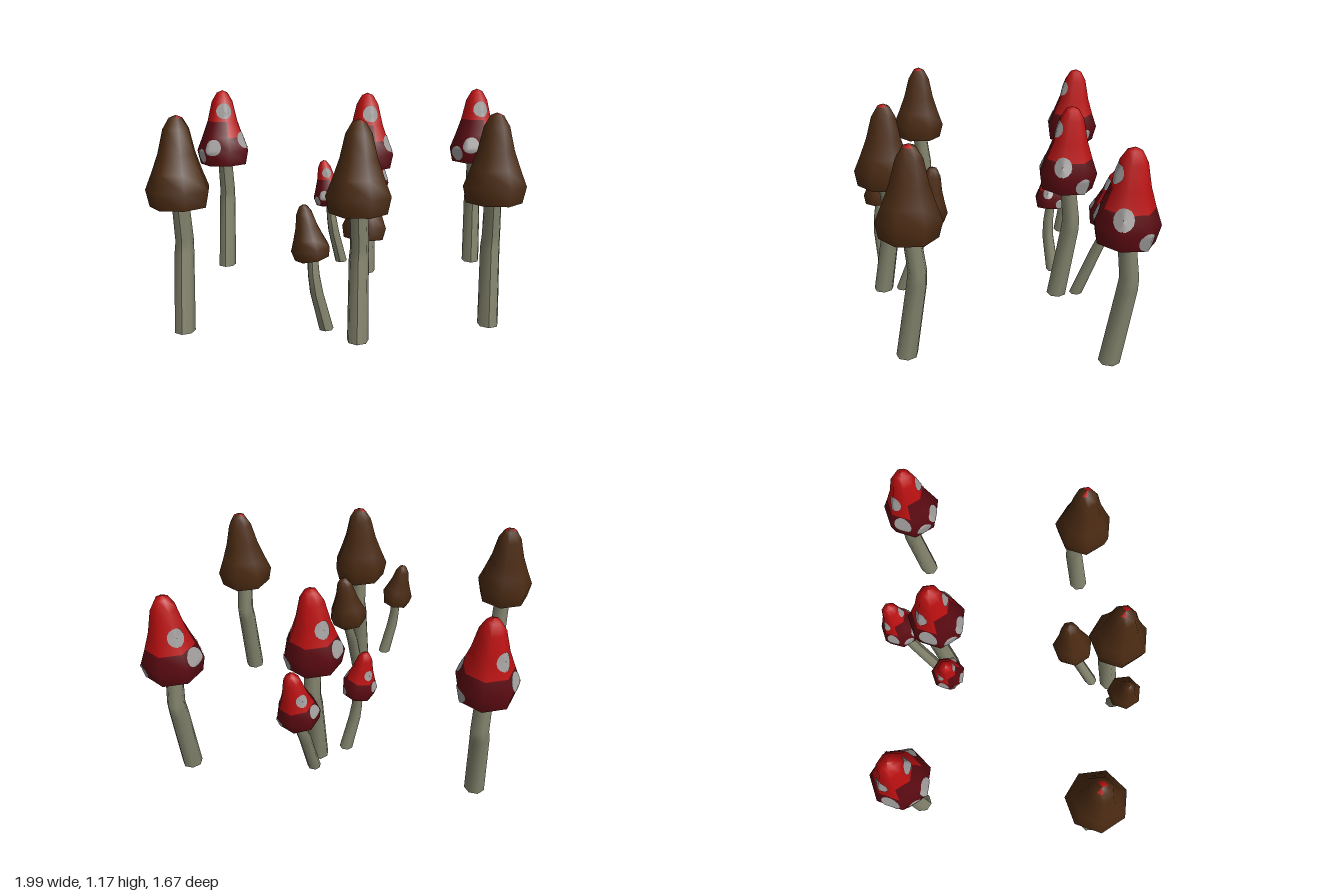
import * as THREE from 'three';

const mat = (name, color) => {
  const m = new THREE.MeshStandardMaterial({ color });
  m.name = name;
  return m;
};

const SIDES = 7;
// Cap profile from rim to tip: radius, height
const PROFILE = [[0.153, 0], [0.172, 0.09], [0.136, 0.18], [0.1, 0.28], [0.07, 0.405], [0.036, 0.462], [0, 0.477]];
// Spots on the cap: angle from the front in degrees, height, size
const SPOTS = [[18, 0.35, 0.05], [-14, 0.12, 0.052], [76, 0.16, 0.054], [126, 0.05, 0.05],
  [232, 0.27, 0.05], [260, 0.13, 0.052], [308, 0.06, 0.048]];

// Distance from the axis to the seven-sided cap surface
function capRadius(angle, y) {
  let i = 0;
  while (i < PROFILE.length - 2 && y > PROFILE[i + 1][1]) i++;
  const [r0, y0] = PROFILE[i], [r1, y1] = PROFILE[i + 1];
  const r = r0 + (r1 - r0) * (y - y0) / (y1 - y0);
  const step = 2 * Math.PI / SIDES;
  const a = (((angle - Math.PI) % step) + step) % step;
  return r * Math.cos(step / 2) / Math.cos(a - step / 2);
}

// Thin disc wrapped onto the cap
function spotGeometry(deg, height, size) {
  const g = new THREE.RingGeometry(0, size, 14, 4);
  const p = g.attributes.position;
  const mid = THREE.MathUtils.degToRad(deg);
  const around = capRadius(mid, height);
  for (let i = 0; i < p.count; i++) {
    const angle = mid + p.getX(i) / around;
    const y = Math.max(0.002, height + p.getY(i));
    const r = capRadius(angle, y) + 0.005;
    p.setXYZ(i, r * Math.sin(angle), y, r * Math.cos(angle));
  }
  g.computeVertexNormals();
  return g;
}

// Lathed cap whose faces take one of two materials
function capGeometry(isSecond) {
  const pts = PROFILE.map(([r, y]) => new THREE.Vector2(r, y));
  const g = new THREE.LatheGeometry(pts, SIDES, Math.PI);
  const rows = PROFILE.length - 1;
  for (let i = 0; i < SIDES; i++) {
    for (let j = 0; j < rows; j++) g.addGroup((i * rows + j) * 6, 6, isSecond(i, j) ? 1 : 0);
  }
  return g;
}

// Stem following a few centre points, tapering upwards
function stemGeometry(path, r0, r1) {
  const n = path.length - 1;
  const g = new THREE.CylinderGeometry(r1, r0, 1, SIDES, n);
  const p = g.attributes.position;
  for (let i = 0; i < p.count; i++) {
    const [x, y, z] = path[Math.round((p.getY(i) + 0.5) * n)];
    p.setXYZ(i, p.getX(i) + x, y, p.getZ(i) + z);
  }
  g.computeVertexNormals();
  return g;
}

export function createModel() {
  const brown = mat('brown cap', 0x4a2a12);
  const red = mat('bright red', 0xb90f10);
  const darkRed = mat('dark red', 0x5a0a11);
  const grey = mat('grey spot', 0xa29e9e);
  const stemMat = mat('stem', 0x83836d);

  const add = (parent, name, geometry, material) => {
    const m = new THREE.Mesh(geometry, material);
    m.name = name;
    parent.add(m);
    return m;
  };

  const redCap = capGeometry((i, j) => j >= (i === 2 || i === 3 ? 3 : 2));
  const brownCap = capGeometry((i, j) => j === 5 && (i === 1 || i === 4 || i === 5));
  const plainCap = capGeometry(() => false);
  const underside = new THREE.LatheGeometry(
    [new THREE.Vector2(0, 0.03), new THREE.Vector2(PROFILE[0][0], 0)], SIDES, Math.PI);
  const spots = SPOTS.map((s) => spotGeometry(...s));

  // Stem paths, radii and cap placement of one cluster
  const bigPath = [[0, 0.005, 0.048], [0, 0.43, -0.02], [0.004, 0.5, -0.026], [0, 0.74, 0.002]];
  const big = (x, z) => ({
    at: [x, z], path: bigPath, radii: [0.058, 0.047],
    cap: [0, 0.7, 0.012], tilt: [-0.05, 0], size: 1,
  });
  const cluster = [
    big(-0.83, 0.59), big(0.115, 0.65), big(0.825, 0.39),
    {
      at: [0.13, 0.41], path: [[-0.02, 0.01, 0.17], [-0.01, 0.3, 0.06], [0, 0.4, 0.02], [0.002, 0.52, 0]],
      radii: [0.039, 0.03], cap: [0, 0.485, 0.01], tilt: [-0.17, -0.06], size: 0.71,
    },
    {
      at: [-0.115, 0.74], path: [[0.065, 0.08, -0.02], [0.02, 0.29, 0.012], [0.006, 0.39, 0.012], [0, 0.5, 0]],
      radii: [0.039, 0.027], cap: [0, 0.48, 0], tilt: [0, 0.16], size: 0.59,
    },
  ];

  function mushroom(spec, isRed) {
    const g = new THREE.Group();
    g.name = isRed ? 'redMushroom' : 'brownMushroom';
    g.position.set(spec.at[0], 0, spec.at[1] - (isRed ? 1.06 : 0));
    add(g, 'stem', stemGeometry(spec.path, ...spec.radii), stemMat);
    const cap = new THREE.Group();
    cap.name = 'cap';
    cap.position.set(...spec.cap);
    cap.rotation.set(spec.tilt[0], 0, spec.tilt[1]);
    cap.scale.setScalar(spec.size);
    const base = isRed ? darkRed : brown;
    const shape = isRed ? redCap : spec.size === 1 ? brownCap : plainCap;
    add(cap, 'capTop', shape, [base, red]);
    add(cap, 'capUnderside', underside, base);
    if (isRed) spots.forEach((s) => add(cap, 'spot', s, grey));
    g.add(cap);
    return g;
  }

  // Brown cluster in front, red cluster behind
  const model = new THREE.Group();
  model.name = 'mushrooms';
  for (const spec of cluster) model.add(mushroom(spec, false), mushroom(spec, true));
  return model;
}
